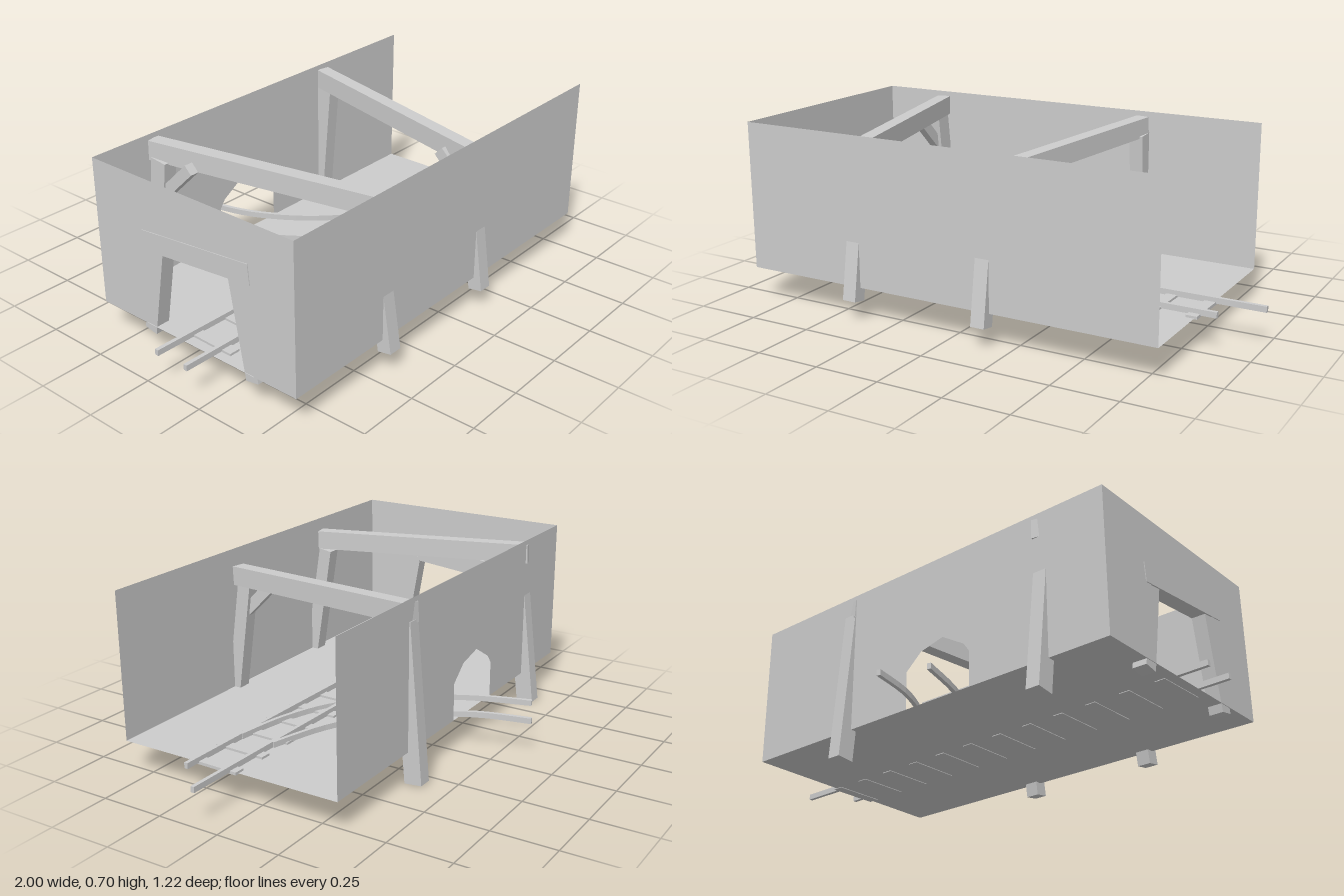
import * as THREE from 'three';

const material = new THREE.MeshStandardMaterial({ color: 0xcccccc, flatShading: true });
const sheet = new THREE.MeshStandardMaterial({ color: 0xcccccc, side: THREE.DoubleSide });
const FLOOR = 0.125, TOP = 0.695, X0 = -0.88, X1 = 0.8, Z0 = -0.345, Z1 = 0.575;
const v = (x, y, z) => new THREE.Vector3(x, y, z);

// Rectangular timber running between two end centres.
function timber(name, a, b, width, thick, up = v(0, 1, 0)) {
  const mesh = new THREE.Mesh(new THREE.BoxGeometry(width, thick, a.distanceTo(b)), material);
  mesh.name = name;
  mesh.up.copy(up);
  mesh.position.copy(a).lerp(b, 0.5);
  mesh.lookAt(b);
  return mesh;
}
const upright = (name, a, b, width, thick) => timber(name, a, b, width, thick, v(0, 0, 1));

// Thin wall from a flat outline.
function panel(name, points) {
  const shape = new THREE.Shape(points.map(([x, y]) => new THREE.Vector2(x, y)));
  const mesh = new THREE.Mesh(new THREE.ShapeGeometry(shape), sheet);
  mesh.name = name;
  return mesh;
}

// Rail of square section following plan points [x, z].
function rail(name, points, segments) {
  const curve = new THREE.SplineCurve(points.map(([x, z]) => new THREE.Vector2(x, -z)));
  const left = [], right = [];
  for (let i = 0; i <= segments; i++) {
    const p = curve.getPoint(i / segments), t = curve.getTangent(i / segments);
    const side = new THREE.Vector2(-t.y, t.x).multiplyScalar(0.0075);
    left.push(p.clone().add(side));
    right.unshift(p.clone().sub(side));
  }
  const shape = new THREE.Shape([...right, ...left]);
  const geo = new THREE.ExtrudeGeometry(shape, { depth: 0.022, bevelEnabled: false });
  geo.rotateX(-Math.PI / 2).translate(0, 0.128, 0);
  const mesh = new THREE.Mesh(geo, material);
  mesh.name = name;
  return mesh;
}

export function createModel() {
  const model = new THREE.Group();
  model.name = 'mineTunnel';

  // Open-topped shell: floor, plain front wall, two walls with openings
  const floor = panel('floor', [[X0, -Z1], [X1, -Z1], [X1, -Z0], [X0, -Z0]]);
  floor.rotation.x = -Math.PI / 2;
  floor.position.y = FLOOR;
  const front = panel('frontWall', [[X0, FLOOR], [X1, FLOOR], [X1, TOP], [X0, TOP]]);
  front.position.z = Z1;
  const back = panel('backWall', [
    [X0, FLOOR], [-0.29, FLOOR], [-0.29, 0.265], [-0.265, 0.3], [-0.165, 0.36], [-0.06, 0.335],
    [0.01, 0.275], [0.01, FLOOR], [X1, FLOOR], [X1, TOP], [X0, TOP]]);
  back.position.z = Z0;
  const end = panel('endWall', [
    [Z0, FLOOR], [-0.122, FLOOR], [-0.068, 0.45], [0.325, 0.49], [0.39, FLOOR],
    [Z1, FLOOR], [Z1, TOP], [Z0, TOP]]);
  end.rotation.y = -Math.PI / 2;
  end.position.x = X0;
  model.add(floor, front, back, end);

  // Doorway frame in the end wall
  const door = new THREE.Group();
  door.name = 'doorFrame';
  door.add(
    timber('doorLintel', v(-0.853, 0.508, 0.384), v(-0.853, 0.46, -0.111), 0.06, 0.075),
    upright('doorPostFront', v(-0.85, 0.098, 0.38), v(-0.85, 0.48, 0.312), 0.055, 0.056),
    upright('doorPostBack', v(-0.85, 0.098, -0.109), v(-0.85, 0.44, -0.047), 0.055, 0.056));
  model.add(door);

  // Two leaning roof supports, each set askew across the tunnel
  const supports = [
    { fx: -0.41, bx: -0.608, fTop: 0.5, bTop: -0.292, yF: 0.62, zF: 0.54 },
    { fx: 0.14, bx: 0.32, fTop: 0.508, bTop: -0.314, yF: 0.594, zF: 0.555 },
  ];
  supports.forEach((s, i) => {
    const g = new THREE.Group();
    g.name = 'roofSupport' + (i + 1);
    g.add(
      timber('roofBeam', v(s.fx, s.yF, s.zF), v(s.bx, 0.638, -0.345), 0.055, 0.075),
      upright('frontPost', v(s.fx, 0.075, 0.583), v(s.fx, 0.58, s.fTop), 0.055, 0.056),
      upright('backPost', v(s.bx, 0.003, -0.366), v(s.bx, 0.61, s.bTop), 0.055, 0.07));
    model.add(g);
  });
  model.add(
    timber('backBrace', v(-0.612, 0.615, -0.145), v(-0.612, 0.46, -0.305), 0.035, 0.042),
    timber('frontBrace', v(0.137, 0.585, 0.385), v(0.137, 0.45, 0.52), 0.03, 0.045));

  // Sleepers under the straight track
  for (let i = 0; i < 12; i++) {
    const sleeper = new THREE.Mesh(new THREE.BoxGeometry(0.042, 0.011, 0.21), material);
    sleeper.name = 'sleeper';
    sleeper.position.set(-0.82 + i * 0.1465, 0.128, 0.142 + i * 0.0022);
    sleeper.rotation.y = -0.02;
    model.add(sleeper);
  }

  // Straight track and the branch curving out through the back wall
  model.add(
    rail('straightRailBack', [[-1, 0.057], [0, 0.085], [1, 0.096]], 8),
    rail('straightRailFront', [[-1, 0.195], [0, 0.223], [0.87, 0.234]], 8),
    rail('branchRailFront', [[-0.278, -0.535], [-0.2, -0.3], [-0.06, -0.075],
      [0.14, 0.105], [0.35, 0.192], [0.57, 0.228]], 24),
    rail('branchRailBack', [[-0.115, -0.61], [-0.065, -0.41], [0.045, -0.22],
      [0.19, -0.075], [0.35, 0.02], [0.57, 0.086]], 24));
  return model;
}
